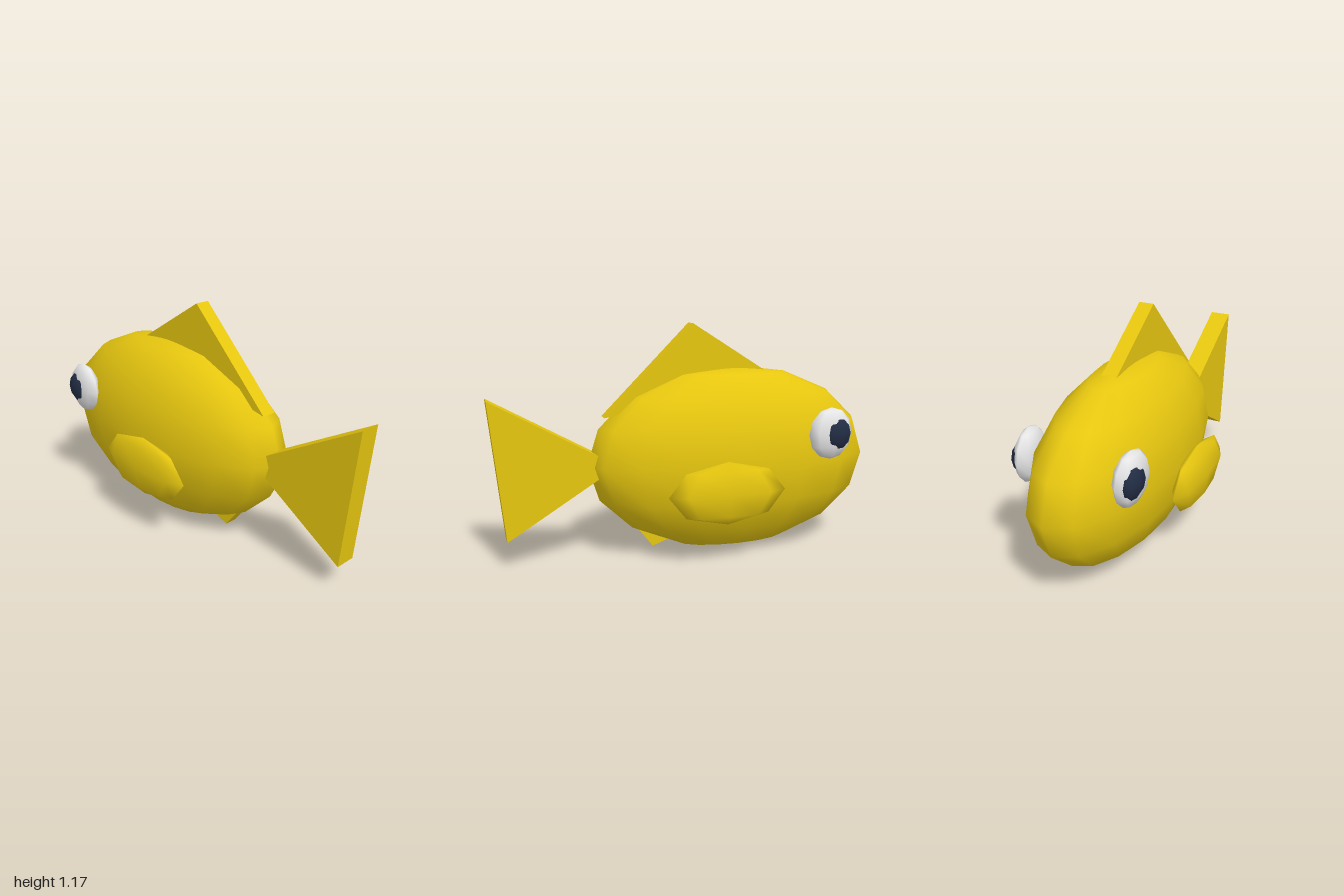
import * as THREE from 'three';

const paint = (name, color) => {
  const m = new THREE.MeshStandardMaterial({ color });
  m.name = name;
  return m;
};

export function createModel() {
  const fish = new THREE.Group();
  fish.name = 'fish';
  const yellow = paint('fish yellow', 0xe6c60f);
  const white = paint('eye white', 0xececec);
  const navy = paint('pupil navy', 0x222d44);

  // Smooth low-poly ellipsoid
  const ellipsoid = (name, mat, radii, pos, wSeg, hSeg, turn = 0) => {
    const mesh = new THREE.Mesh(new THREE.SphereGeometry(1, wSeg, hSeg), mat);
    mesh.name = name;
    mesh.scale.set(...radii);
    mesh.position.set(...pos);
    mesh.rotation.y = turn;
    fish.add(mesh);
  };

  // Flat triangular slab centred on z = 0
  const triangleFin = (name, points, depth) => {
    const shape = new THREE.Shape(points.map(([x, y]) => new THREE.Vector2(x, y)));
    const geo = new THREE.ExtrudeGeometry(shape, { depth, bevelEnabled: false });
    geo.translate(0, 0, -depth / 2);
    const mesh = new THREE.Mesh(geo, yellow);
    mesh.name = name;
    fish.add(mesh);
  };

  ellipsoid('body', yellow, [0.762, 0.478, 0.305], [-0.238, 0.479, 0], 16, 8);

  triangleFin('tailFin', [[0.377, 0.48], [0.93, 0.14], [1, 0.83]], 0.109);
  triangleFin('dorsalFin', [[-0.46, 0.896], [0.44, 0.72], [-0.015, 1.175]], 0.076);
  triangleFin('bellyFin', [[0.2, 0.042], [0.34, 0.222], [0, 0.112]], 0.064);

  // Paired side fins and eyes
  for (const side of [1, -1]) {
    const label = side > 0 ? 'front' : 'back';
    ellipsoid(label + 'SideFin', yellow, [0.3, 0.156, 0.057], [-0.1, 0.37, side * 0.326], 8, 4);
    ellipsoid(label + 'Eye', white, [0.128, 0.133, 0.054], [-0.683, 0.62, side * 0.255], 8, 6, -side * 0.1);
    ellipsoid(label + 'Pupil', navy, [0.083, 0.084, 0.048], [-0.709, 0.62, side * 0.272], 8, 6, -side * 0.1);
  }

  return fish;
}
